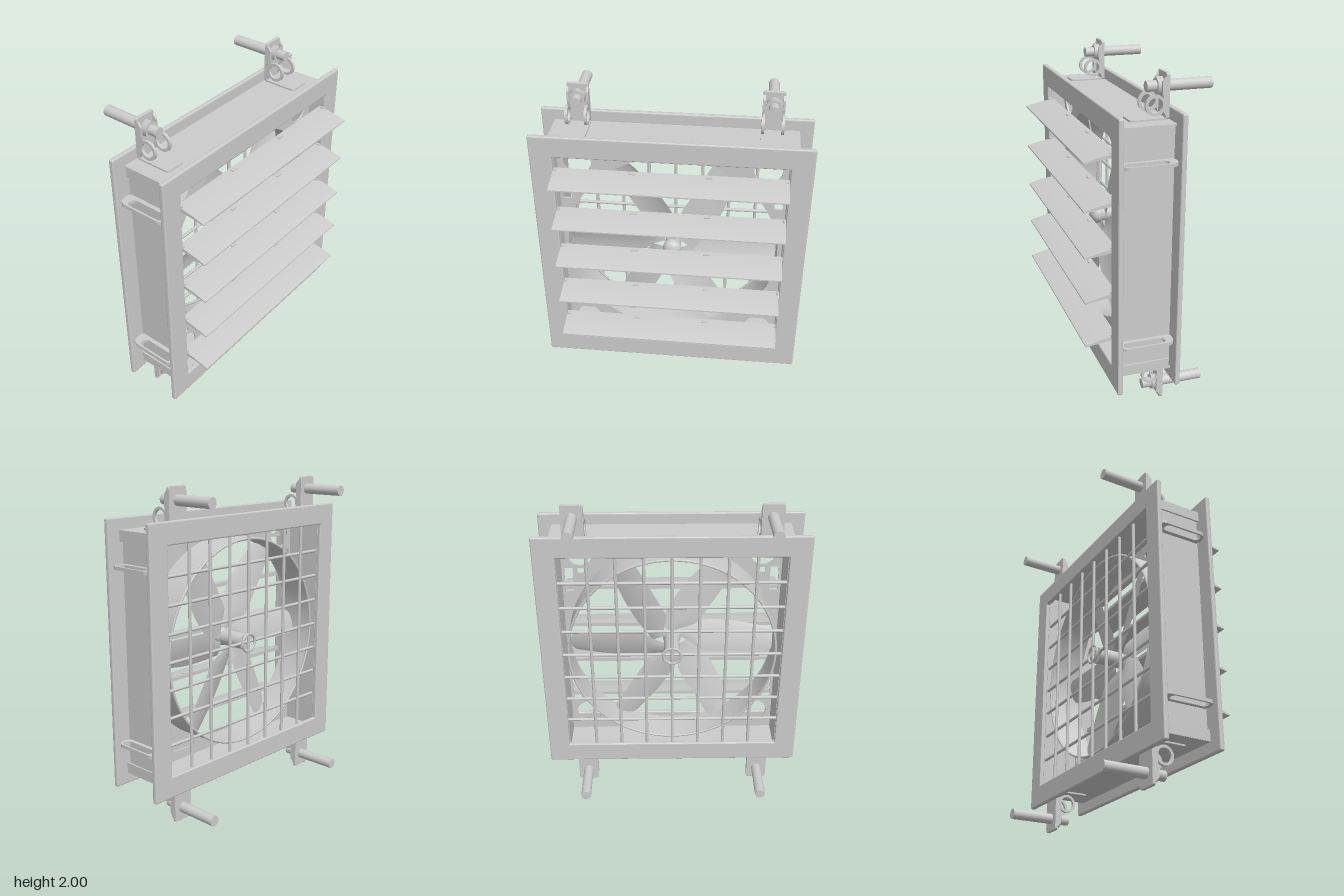
import * as THREE from 'three';

const CY = 1.003; // height of the fan axis

export function createModel() {
  const root = new THREE.Group();
  const grey = new THREE.MeshStandardMaterial({ color: 0xcccccc });
  const thin = new THREE.MeshStandardMaterial({ color: 0xcccccc, side: THREE.DoubleSide });

  const add = (name, geo, x = 0, y = 0, z = 0, parent = root, mat = grey) => {
    const m = new THREE.Mesh(geo, mat);
    m.name = name;
    m.position.set(x, y, z);
    parent.add(m);
    return m;
  };
  const box = (name, w, h, d, x, y, z, parent) => add(name, new THREE.BoxGeometry(w, h, d), x, y, z, parent);
  const rod = (name, r, len, x, y, z, parent, seg = 24) =>
    add(name, new THREE.CylinderGeometry(r, r, len, seg).rotateX(Math.PI / 2), x, y, z, parent);
  const extrude = (shape, depth, bevel = 0) => new THREE.ExtrudeGeometry(shape, {
    depth: depth - 2 * bevel, bevelEnabled: bevel > 0, bevelSize: bevel, bevelThickness: bevel,
    bevelOffset: -bevel, bevelSegments: 3, curveSegments: 24,
  }).translate(0, 0, bevel);
  // rounded rectangle about (cx, cy)
  const roundRect = (cx, cy, w, h, r, Type = THREE.Shape) => {
    const p = new Type(), a = w / 2 - r, b = h / 2 - r;
    p.absarc(cx + a, cy + b, r, 0, Math.PI / 2);
    p.absarc(cx - a, cy + b, r, Math.PI / 2, Math.PI);
    p.absarc(cx - a, cy - b, r, Math.PI, Math.PI * 1.5);
    p.absarc(cx + a, cy - b, r, Math.PI * 1.5, Math.PI * 2);
    p.closePath();
    return p;
  };
  const circle = (cx, cy, r) => new THREE.Path().absarc(cx, cy, r, 0, Math.PI * 2);

  // front and rear flanges
  const flange = roundRect(0, 0, 1.625, 1.625, 0.01);
  flange.holes.push(roundRect(0, 0, 1.36, 1.36, 0.003, THREE.Path));
  const flangeGeo = extrude(flange, 0.03, 0.008);
  add('frontFlange', flangeGeo, 0, CY, 0.202);
  add('rearFlange', flangeGeo, 0, CY, -0.15);

  // housing walls
  for (const s of [-1, 1]) {
    box('sideWall', 0.028, 1.48, 0.33, s * 0.692, CY, 0.04);
    box('topBottomWall', 1.46, 0.01, 0.33, 0, CY + s * 0.737, 0.04);
  }

  // side loops and folded corner lips
  const loop = roundRect(0.745, 0.04, 0.11, 0.32, 0.045);
  loop.holes.push(roundRect(0.76, 0.055, 0.056, 0.25, 0.027, THREE.Path));
  const loopGeo = extrude(loop, 0.02).rotateX(Math.PI / 2).translate(0, 0.01, 0);
  for (const sx of [-1, 1]) for (const sy of [-1, 1]) {
    const m = add('sideLoop', loopGeo, 0, CY + sy * 0.537, 0);
    m.rotation.z = sx > 0 ? 0 : Math.PI;
    box('cornerLip', 0.01, 0.065, 0.31, sx * 0.726, CY + sy * 0.708, 0.045);
  }

  // orifice plate with a round opening and pierced corners
  const plate = roundRect(0, 0, 1.36, 1.47, 0.002);
  plate.holes.push(circle(0, 0, 0.653));
  for (const sx of [-1, 1]) for (const sy of [-1, 1]) plate.holes.push(
    circle(sx * 0.56, sy * 0.597, 0.083),
    roundRect(sx * 0.35, sy * 0.658, 0.18, 0.03, 0.012, THREE.Path),
    roundRect(sx * 0.635, sy * 0.417, 0.052, 0.16, 0.003, THREE.Path),
    roundRect(sx * 0.56, sy * 0.478, 0.04, 0.035, 0.008, THREE.Path));
  add('orificePlate', extrude(plate, 0.012), 0, CY, 0.105);

  // round air duct behind the orifice
  const duct = new THREE.CylinderGeometry(0.653, 0.653, 0.215, 80, 1, true).rotateX(Math.PI / 2);
  add('airDuct', duct, 0, CY, 0.005, root, thin);

  // rear guard: wire grid and rings
  const wire = new THREE.CylinderGeometry(0.01, 0.01, 1.36, 10);
  const crossWire = wire.clone().rotateZ(Math.PI / 2);
  for (let i = -3; i <= 3; i++) {
    const p = i * 0.167;
    add('guardWire', wire, p, CY, -0.128);
    add('guardWire', crossWire, 0, CY + p, -0.112);
  }
  add('guardRing', new THREE.TorusGeometry(0.647, 0.008, 8, 80), 0, CY, -0.105);
  add('shaftRing', new THREE.TorusGeometry(0.055, 0.009, 10, 32), 0, CY, -0.13);

  // shaft and hub
  rod('shaft', 0.05, 0.2, 0, CY, 0.0);
  add('hub', new THREE.SphereGeometry(0.058, 28, 18).scale(1, 1, 0.8), 0, CY, 0.1);

  // six gently pitched, cambered blades
  const blade = new THREE.PlaneGeometry(1, 2, 24, 14);
  const bp = blade.attributes.position;
  for (let i = 0; i < bp.count; i++) {
    const u = bp.getX(i) + 0.5, v = bp.getY(i);
    const lower = -0.115 - 0.03 * Math.sin(Math.PI * u) + 0.035 * u;
    const upper = -0.02 + 0.085 * THREE.MathUtils.smoothstep(u, 0, 0.3) + 0.015 * u;
    const t = THREE.MathUtils.lerp(lower, upper, (v + 1) / 2);
    const r = 0.05 + u * (0.592 - 0.04 * Math.pow(Math.abs(v), 5));
    bp.setXYZ(i, r, t, 0.05 - t * 0.3 + 0.01 * v * v);
  }
  blade.computeVertexNormals();
  const fan = new THREE.Group();
  fan.name = 'fan';
  fan.position.y = CY;
  root.add(fan);
  for (let i = 0; i < 6; i++) add('blade', blade, 0, 0, 0, fan, thin).rotation.z = i * Math.PI / 3;

  // five open louvers, slightly bowed and tapering to the tip
  const sec = new THREE.Shape();
  sec.moveTo(-0.195, 0.014);
  sec.quadraticCurveTo(-0.31, 0.0, -0.383, -0.024);
  sec.lineTo(-0.383, -0.032);
  sec.quadraticCurveTo(-0.31, -0.02, -0.195, -0.009);
  sec.closePath();
  const louver = new THREE.ExtrudeGeometry(sec, { depth: 1.36, bevelEnabled: false, curveSegments: 10 })
    .rotateY(Math.PI / 2).translate(-0.68, 0, 0);
  for (let i = 0; i < 5; i++) {
    const y = 0.493 + i * 0.273;
    add('louver', louver, 0, y, 0);
    for (const s of [-1, 1]) {
      box('louverPivot', 0.014, 0.03, 0.025, s * 0.671, y + 0.002, 0.217);
      box('louverClip', 0.04, 0.01, 0.02, s * 0.22, y + 0.011, 0.218);
    }
  }

  // mounting bracket, built upright from the fan axis
  const cheek = new THREE.Shape();
  cheek.absarc(0.035, 0.823, 0.058, 0, Math.PI * 2);
  cheek.holes.push(circle(0.035, 0.823, 0.042));
  const cheekGeo = extrude(cheek, 0.016).rotateY(Math.PI / 2);
  const web = new THREE.Shape([[0.115, 0.76], [0.095, 0.76], [0.08, 0.79], [0.08, 0.86], [0.074, 0.89],
    [0.074, 0.95], [0.095, 0.975], [0.115, 0.975]].map(([x, y]) => new THREE.Vector2(x, y)).reverse());
  const webGeo = extrude(web, 0.014).rotateY(Math.PI / 2);
  const plateGeo = extrude(roundRect(0, 0.869, 0.13, 0.256, 0.015), 0.02, 0.004);
  const footGeo = extrude(roundRect(0, 0, 0.13, 0.22, 0.02), 0.01).rotateX(Math.PI / 2);
  const bracket = (x, flip) => {
    const g = new THREE.Group();
    g.name = 'mountingBracket';
    g.position.set(x, flip ? 0.997 : CY, 0);
    g.rotation.z = flip ? Math.PI : 0;
    root.add(g);
    add('bracketPlate', plateGeo, 0, 0, -0.115, g);
    add('bracketFoot', footGeo, 0, 0.752, 0, g);
    for (const s of [-1, 1]) {
      add('bracketEye', cheekGeo, s * 0.057 - 0.008, 0, 0, g);
      add('bracketWeb', webGeo, s * 0.058 - 0.007, 0, 0, g);
    }
    rod('bolt', 0.032, 0.27, 0, 0.917, -0.247, g);
    rod('nut', 0.05, 0.04, 0, 0.917, -0.077, g, 6);
    rod('boltTip', 0.03, 0.06, 0, 0.917, -0.03, g);
  };
  for (const x of [-0.573, 0.568]) for (const flip of [false, true]) bracket(x, flip);

  return root;
}
